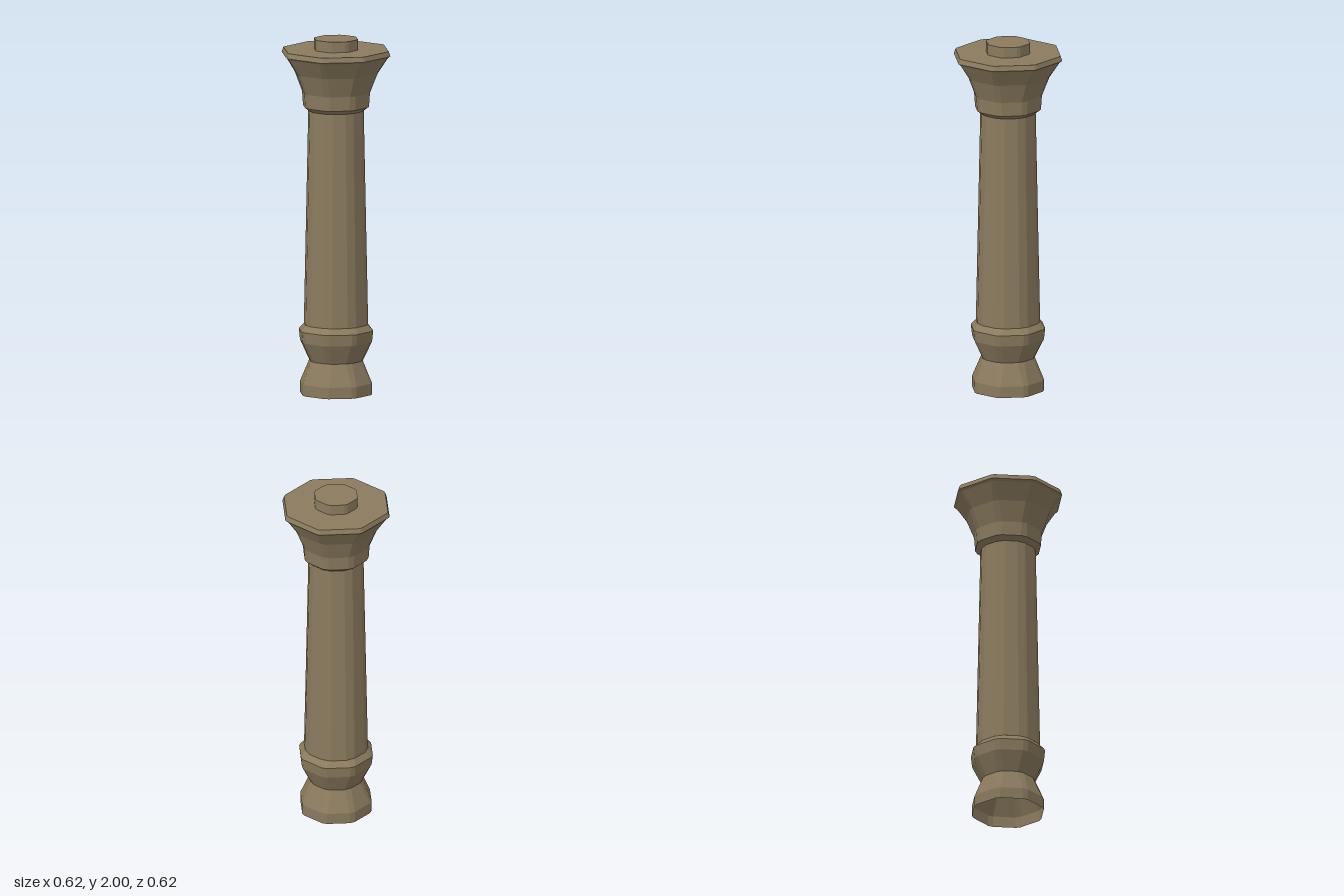
import * as THREE from 'three';

const material = new THREE.MeshStandardMaterial({
  color: 0x8b7b5e, roughness: 1, flatShading: true, side: THREE.DoubleSide,
});

// Octagon with clipped corners: r is the reach of a corner, h half the clipped width
function ring([y, r, h]) {
  const points = [];
  for (let k = 0; k < 8; k++) {
    for (const s of [-h, h]) {
      const a = k * Math.PI / 4;
      const c = Math.cos(a), n = Math.sin(a);
      points.push([r * c - s * n, y, -(r * n + s * c)]);
    }
  }
  return points;
}

// Joins stacked rings [y, r, h] into a faceted skin; r = 0 closes the skin
function stack(name, sections) {
  const rings = sections.map(ring);
  const positions = [];
  for (let i = 0; i < rings.length - 1; i++) {
    for (let j = 0; j < 16; j++) {
      const k = (j + 1) % 16;
      const a = rings[i][j], b = rings[i][k], c = rings[i + 1][j], d = rings[i + 1][k];
      positions.push(...a, ...b, ...d);
      if (sections[i + 1][1] > 0) positions.push(...a, ...d, ...c);
    }
  }
  const geometry = new THREE.BufferGeometry();
  geometry.setAttribute('position', new THREE.Float32BufferAttribute(positions, 3));
  geometry.computeVertexNormals();
  const mesh = new THREE.Mesh(geometry, material);
  mesh.name = name;
  return mesh;
}

export function createModel() {
  const column = new THREE.Group();
  column.name = 'column';

  // Waisted foot, open underneath
  column.add(stack('base', [
    [0, 0.203, 0.014], [0.064, 0.203, 0.016], [0.188, 0.149, 0.02],
    [0.297, 0.203, 0.016], [0.36, 0.211, 0.014], [0.393, 0.178, 0.026],
  ]));

  // Tapering shaft
  column.add(stack('shaft', [[0.393, 0.178, 0.027], [1.6, 0.153, 0.025]]));

  // Flared capital with a bevelled rim and flat top
  column.add(stack('capital', [
    [1.597, 0.153, 0.025], [1.62, 0.185, 0.018], [1.7, 0.191, 0.018],
    [1.81, 0.235, 0.016], [1.902, 0.297, 0.01], [1.912, 0.311, 0.008],
    [1.94, 0.301, 0.009], [1.94, 0, 0],
  ]));

  // Small peg on top
  column.add(stack('peg', [[1.94, 0.123, 0.011], [2, 0.123, 0.011], [2, 0, 0]]));

  return column;
}
